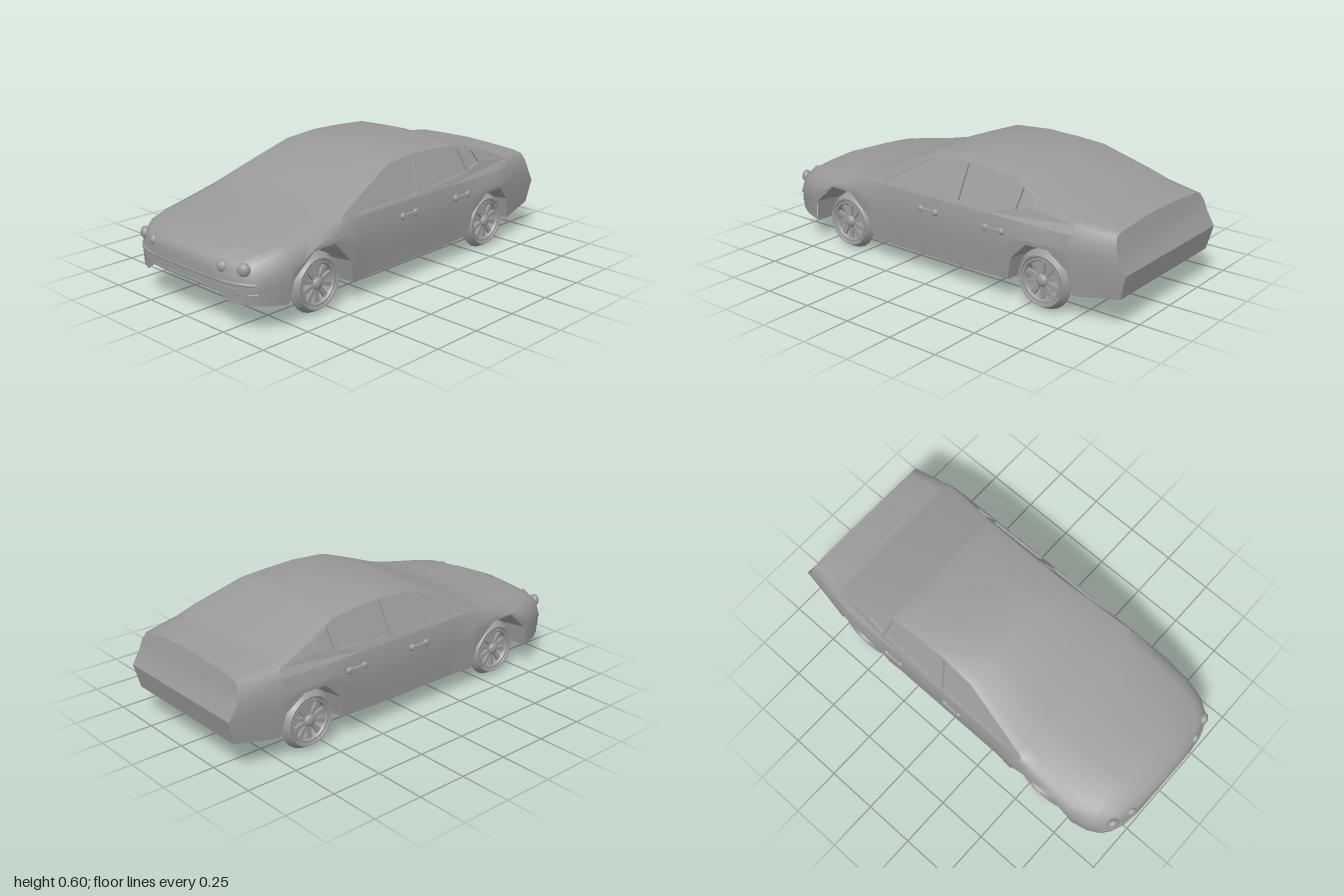
import * as THREE from 'three';
import { toCreasedNormals } from 'three/addons/utils/BufferGeometryUtils.js';

const mat = new THREE.MeshStandardMaterial({ color: 0x999999, side: THREE.DoubleSide });

function mesh(name, geo, parent, x = 0, y = 0, z = 0) {
  const m = new THREE.Mesh(geo, mat);
  m.name = name;
  m.position.set(x, y, z);
  parent.add(m);
  return m;
}

// Linear interpolation in a table of [position, value]
function lookup(table, x) {
  if (x <= table[0][0]) return table[0][1];
  for (let i = 1; i < table.length; i++) {
    const [x0, v0] = table[i - 1], [x1, v1] = table[i];
    if (x <= x1) return v0 + (v1 - v0) * (x - x0) / (x1 - x0);
  }
  return table[table.length - 1][1];
}

// Body lines along the length; the nose is at -x
const FRONT_ARCH = [[-0.785, 0.113], [-0.765, 0.22], [-0.65, 0.318], [-0.525, 0.318], [-0.42, 0.21], [-0.395, 0.1]];
const REAR_ARCH = [[0.415, 0.108], [0.44, 0.22], [0.53, 0.308], [0.645, 0.308], [0.73, 0.23], [0.755, 0.118]];
const TOP = [[-1, 0.305], [-0.985, 0.322], [-0.955, 0.337], [-0.875, 0.366], [-0.71, 0.392], [-0.55, 0.418], [-0.45, 0.44],
  [-0.27, 0.512], [-0.08, 0.585], [0.1, 0.6], [0.26, 0.593], [0.41, 0.58], [0.58, 0.518], [0.74, 0.458], [0.925, 0.44]];
const WIDTH = [[-1, 0.2], [-0.985, 0.28], [-0.96, 0.345], [-0.93, 0.385], [-0.87, 0.42], [-0.77, 0.443], [-0.41, 0.441],
  [-0.3, 0.43], [0.35, 0.43], [0.53, 0.441], [0.65, 0.437], [0.75, 0.42], [0.94, 0.38]];
const SILL = [[-1, 0.19], [-0.985, 0.14], ...FRONT_ARCH, [0.2, 0.1], ...REAR_ARCH, [0.94, 0.148]];
const DROP = [[-1, 0.05], [-0.8, 0.042], [-0.55, 0.028], [-0.45, 0.025]];
const TAIL = [[0.15, 0.97], [0.262, 0.998], [0.33, 0.957], [0.44, 0.925]];
const CABIN = [-0.45, 0.74];

const railY = x => lookup(TOP, x) - lookup(DROP, x);
const beltY = x => Math.min(0.395, railY(x) - 0.035);

// Flank above the belt: a sloping plane, rounded over at the hood
function sideZ(x, y) {
  const w = lookup(WIDTH, x);
  const plane = (0.405 - 0.5 * (y - 0.42)) * Math.min(w, 0.43) / 0.43;
  return Math.min(plane, w * (0.92 + 1.5 * (railY(x) - y)));
}

// Half cross-section [y, z], from sill over the belt and rail to the centre line
function section(x) {
  const w = lookup(WIDTH, x), top = lookup(TOP, x), sill = lookup(SILL, x);
  const belt = beltY(x), rail = railY(x);
  const waist = Math.max(Math.min(0.33, belt - 0.03), sill + 0.008);
  const zr = sideZ(x, rail), gap = waist - sill;
  return [
    [sill, w - 0.08 * gap],
    [sill + 0.63 * gap, w - 0.015 * gap],
    [waist, w],
    [belt, sideZ(x, belt)],
    [rail, zr],
    [top - 0.55 * (top - rail), zr * 0.88],
    [top - 0.2 * (top - rail), zr * 0.45],
    [top, 0],
  ];
}

function stations() {
  const xs = [...TOP, ...WIDTH, ...SILL].map(p => p[0]).sort((a, b) => a - b);
  return xs.filter((x, i) => i === 0 || x - xs[i - 1] > 0.001);
}

function buildBody(parent) {
  // The last two stations share the tail, which slants with height
  const xs = stations().filter(x => x !== 0.925);
  const half = 8, ring = 2 * half - 1;
  const pos = [], shell = [], tailFace = [];
  xs.forEach((x, i) => {
    const s = section(x), last = i === xs.length - 1;
    for (let j = 0; j < ring; j++) {
      const [y, z] = s[j < half ? j : ring - 1 - j];
      pos.push(last ? lookup(TAIL, y) : x, y, j < half ? z : -z);
    }
  });
  for (let i = 0; i < xs.length - 1; i++) {
    const inCabin = xs[i] >= CABIN[0] && xs[i + 1] <= CABIN[1];
    for (let j = 0; j < ring - 1; j++) {
      if (inCabin && (j === 3 || j === ring - 5)) continue;
      const a = i * ring + j, b = a + ring;
      shell.push(a, b, b + 1, a, b + 1, a + 1);
    }
  }
  // Nose and tail are closed with strips from side to side
  const tail = (xs.length - 1) * ring;
  for (let j = 0; j < half - 1; j++) {
    const k = ring - 1 - j;
    shell.push(j, j + 1, k - 1, j, k - 1, k);
    tailFace.push(tail + j, tail + k, tail + k - 1, tail + j, tail + k - 1, tail + j + 1);
  }
  for (const [name, idx, crease] of [['body', shell, 0.9], ['tailPanel', tailFace, 0.35]]) {
    const g = new THREE.BufferGeometry();
    g.setAttribute('position', new THREE.Float32BufferAttribute(pos, 3));
    g.setIndex(idx);
    mesh(name, toCreasedNormals(g, crease), parent);
  }
}

const WINDOWS = {
  frontWindow: [[-0.345, 0.402], [0.045, 0.41], [0.095, 0.568], [-0.09, 0.548]],
  rearWindow: [[0.125, 0.412], [0.425, 0.435], [0.41, 0.537], [0.125, 0.568]],
  quarterWindow: [[0.44, 0.435], [0.53, 0.455], [0.505, 0.51], [0.45, 0.53]],
};
const vectors = pts => pts.map(p => new THREE.Vector2(p[0], p[1]));

// Lay a flat shape onto the sloping cabin side
function ontoSide(geo, offset) {
  const p = geo.attributes.position;
  for (let i = 0; i < p.count; i++) p.setZ(i, sideZ(p.getX(i), p.getY(i)) + p.getZ(i) + offset);
  geo.computeVertexNormals();
  return geo;
}

function wheel() {
  const g = new THREE.Group();
  g.name = 'wheel';
  const lathe = pts => toCreasedNormals(new THREE.LatheGeometry(vectors(pts), 24).rotateX(Math.PI / 2), 0.5);
  mesh('tyre', lathe([[0.104, -0.037], [0.118, -0.039], [0.14, 0], [0.118, 0.039], [0.108, 0.036], [0.104, 0.028], [0.104, -0.037]]), g);
  mesh('rim', lathe([[0.104, -0.03], [0.104, 0.034], [0.094, 0.034], [0.088, 0.022], [0.092, -0.03]]), g);
  const hub = mesh('hub', new THREE.SphereGeometry(0.03, 16, 10), g, 0, 0, 0.02);
  hub.scale.z = 0.7;
  // Ten tapering spokes
  const spoke = new THREE.ExtrudeGeometry(
    new THREE.Shape(vectors([[-0.007, 0.015], [0.007, 0.015], [0.012, 0.094], [-0.012, 0.094]])),
    { depth: 0.014, bevelEnabled: false });
  for (let i = 0; i < 10; i++) mesh('spoke', spoke, g, 0, 0, 0.01).rotation.z = i * Math.PI / 5;
  return g;
}

// Arch lining, tapering inwards, and inner wall
function wheelWell(arch, centre, parent) {
  const depth = 0.292, pos = [], idx = [];
  const inner = arch.map(([x, y]) => [centre + (x - centre) * 0.91, 0.1 + (y - 0.1) * 0.92]);
  arch.forEach(([x, y], i) => {
    pos.push(x, y, section(x)[0][1], ...inner[i], depth);
    if (i) idx.push(2 * i - 2, 2 * i - 1, 2 * i + 1, 2 * i - 2, 2 * i + 1, 2 * i);
  });
  const g = new THREE.BufferGeometry();
  g.setAttribute('position', new THREE.Float32BufferAttribute(pos, 3));
  g.setIndex(idx);
  mesh('wheelArch', toCreasedNormals(g, 0.3), parent);
  mesh('wheelWellWall', new THREE.ShapeGeometry(new THREE.Shape(vectors(inner))), parent, 0, 0, depth);
}

function buildSide() {
  const g = new THREE.Group();
  // Cabin side with window openings
  const xs = stations().filter(x => x >= CABIN[0] && x <= CABIN[1]);
  const outline = [...xs.map(x => [x, beltY(x)]), ...[...xs].reverse().map(x => [x, railY(x)])];
  const shape = new THREE.Shape(vectors(outline));
  for (const [name, pts] of Object.entries(WINDOWS)) {
    shape.holes.push(new THREE.Path(vectors(pts)));
    mesh(name, ontoSide(new THREE.ShapeGeometry(new THREE.Shape(vectors(pts))), -0.013), g);
  }
  const panel = new THREE.ExtrudeGeometry(shape, { depth: 0.018, bevelEnabled: false });
  mesh('cabinSide', ontoSide(panel, -0.018), g);

  // Door handles with a knob at each end
  for (const x of [-0.035, 0.345]) {
    const handle = new THREE.Group();
    handle.name = 'doorHandle';
    handle.position.set(x, 0.333, 0.432);
    mesh('handleBar', new THREE.BoxGeometry(0.1, 0.015, 0.014), handle, 0, 0, 0.005);
    for (const s of [-1, 1]) {
      mesh('handleEnd', new THREE.SphereGeometry(0.017, 10, 8), handle, s * 0.044).scale.set(1.1, 1, 0.75);
    }
    g.add(handle);
  }

  // Wheels in their wells
  for (const [x, arch] of [[-0.585, FRONT_ARCH], [0.585, REAR_ARCH]]) {
    wheelWell(arch, x, g);
    const w = wheel();
    w.position.set(x, 0.14, 0.367);
    g.add(w);
  }

  // Paired round headlights
  for (const [x, y, z, r] of [[-0.95, 0.288, 0.335, 0.03], [-0.978, 0.285, 0.235, 0.026]]) {
    const lamp = mesh('headlight', new THREE.SphereGeometry(r, 14, 10), g, x, y, z);
    lamp.scale.x = 0.75;
    lamp.rotation.y = 0.5;
  }
  return g;
}

export function createModel() {
  const car = new THREE.Group();
  car.name = 'car';
  buildBody(car);

  const left = buildSide();
  left.name = 'leftSide';
  const right = buildSide();
  right.name = 'rightSide';
  right.scale.z = -1;
  car.add(left, right);

  // Bumper ridges wrapped around the nose
  for (const y of [0.225, 0.18]) {
    const pts = [[-0.925, 0.385], [-0.958, 0.34], [-0.984, 0.27], [-0.992, 0.2], [-0.994, 0]];
    const path = [...pts, ...pts.slice(0, -1).reverse().map(p => [p[0], -p[1]])]
      .map(p => new THREE.Vector3(p[0] + (0.225 - y) * 0.15, y, p[1]));
    mesh('bumperRidge', new THREE.TubeGeometry(new THREE.CatmullRomCurve3(path), 32, 0.009, 6), car);
  }
  return car;
}
